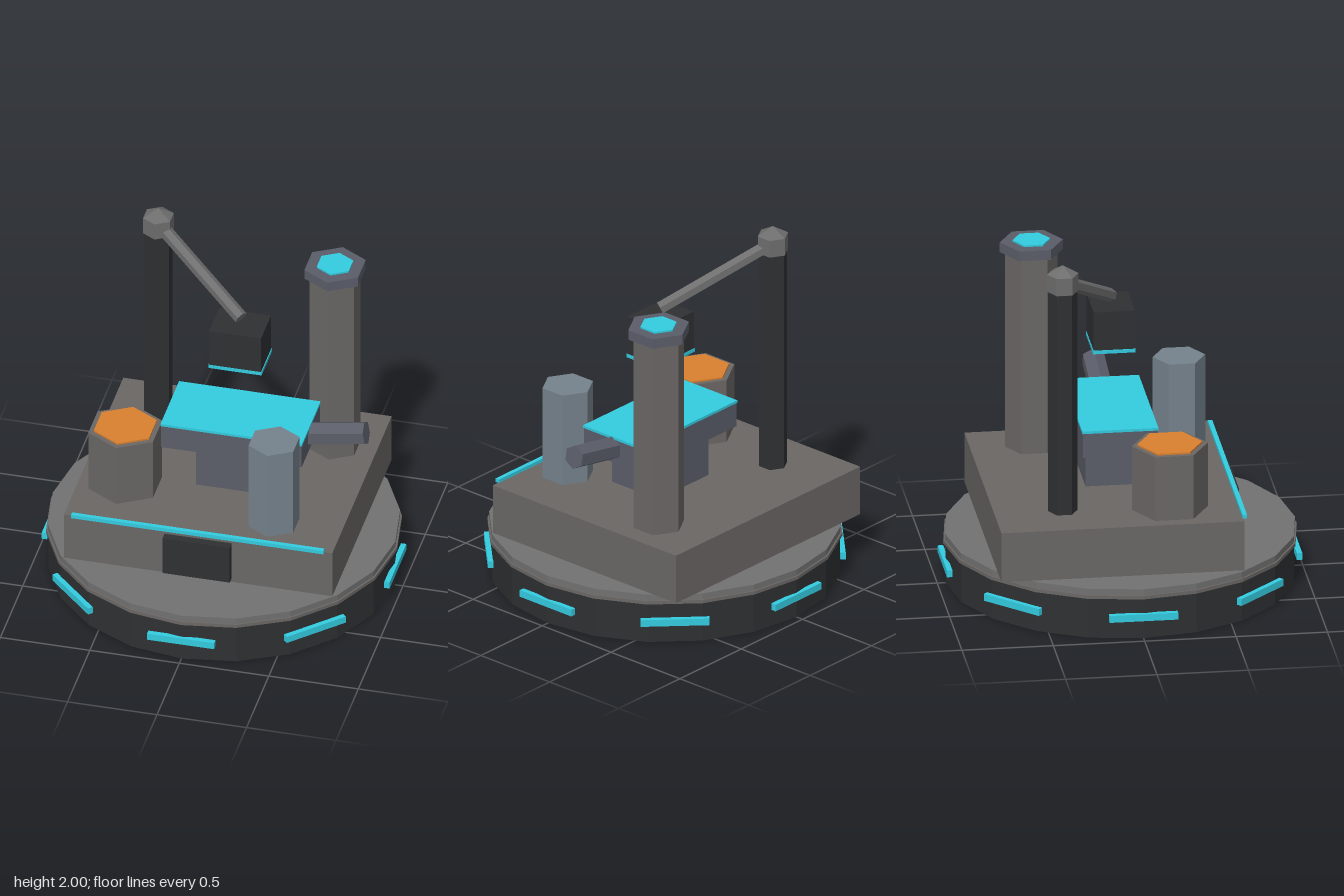
import * as THREE from 'three';

const mat = (color) => new THREE.MeshStandardMaterial({ color, flatShading: true });

export function createModel() {
  const root = new THREE.Group();
  const M = {
    dark: mat(0x2e3032), grey: mat(0x6a6765), deck: mat(0x717171), slate: mat(0x5a5d69),
    steel: mat(0x75828c), joint: mat(0x6e6e6e), cyan: mat(0x33cbe0), orange: mat(0xd98030),
  };

  const add = (name, geo, material, x = 0, y = 0, z = 0, parent = root) => {
    const mesh = new THREE.Mesh(geo, material);
    mesh.name = name;
    mesh.position.set(x, y, z);
    parent.add(mesh);
    return mesh;
  };
  // Box given by its extents on each axis
  const box = (name, m, [x0, x1], [y0, y1], [z0, z1]) =>
    add(name, new THREE.BoxGeometry(x1 - x0, y1 - y0, z1 - z0), m,
      (x0 + x1) / 2, (y0 + y1) / 2, (z0 + z1) / 2);
  // Upright prism standing between two heights
  const prism = (name, m, r, y0, y1, x, z, sides = 6) =>
    add(name, new THREE.CylinderGeometry(r, r, y1 - y0, sides), m, x, (y0 + y1) / 2, z);
  // Hexagonal rod between two points
  const rod = (name, m, r, a, b) => {
    const p = new THREE.Vector3(...a), q = new THREE.Vector3(...b);
    const mid = p.clone().add(q).multiplyScalar(0.5);
    const mesh = add(name, new THREE.CylinderGeometry(r, r, p.distanceTo(q), 6), m, mid.x, mid.y, mid.z);
    mesh.quaternion.setFromUnitVectors(new THREE.Vector3(0, 1, 0), q.sub(p).normalize());
    return mesh;
  };

  // Round base
  prism('baseDrum', M.dark, 0.955, 0, 0.23, 0, 0, 20);
  prism('baseRim', M.grey, 0.967, 0.23, 0.25, 0, 0, 20);
  prism('baseDeck', M.deck, 0.957, 0.25, 0.285, 0, 0, 20);

  // Eight light bars around the base
  for (let i = 0; i < 8; i++) {
    const a = (i * Math.PI) / 4;
    const bar = add('baseLight', new THREE.BoxGeometry(0.375, 0.04, 0.03), M.cyan,
      Math.sin(a) * 0.957, 0.125, Math.cos(a) * 0.957);
    bar.rotation.y = a;
  }

  // Square housing with front trim and panel
  box('housing', M.grey, [-0.75, 0.75], [0.285, 0.57], [-0.75, 0.58]);
  box('frontTrim', M.cyan, [-0.705, 0.705], [0.568, 0.59], [0.575, 0.6]);
  box('frontPanel', M.dark, [-0.188, 0.188], [0.31, 0.54], [0.57, 0.625]);

  // Work table
  box('tablePedestal', M.slate, [-0.125, 0.285], [0.57, 0.81], [-0.205, 0.13]);
  box('tableSlab', M.slate, [-0.31, 0.475], [0.81, 0.95], [-0.245, 0.165]);
  box('tableTop', M.cyan, [-0.313, 0.478], [0.95, 0.965], [-0.248, 0.168]);
  const nozzle = rod('sideNozzle', M.slate, 0.067, [0.42, 0.885, -0.04], [0.785, 0.949, -0.04]);
  nozzle.rotateY(Math.PI / 6);

  // Hexagonal containers and tower
  prism('pot', M.grey, 0.208, 0.57, 0.94, -0.5, 0.205);
  prism('potFill', M.orange, 0.178, 0.935, 0.95, -0.5, 0.205);
  prism('tank', M.steel, 0.144, 0.57, 1.107, 0.373, 0.373);
  prism('tower', M.grey, 0.144, 0.57, 1.71, 0.517, -0.415);
  prism('towerCap', M.slate, 0.173, 1.705, 1.762, 0.517, -0.415);
  prism('towerLight', M.cyan, 0.103, 1.76, 1.772, 0.517, -0.415);

  // Post with jointed arm and hanging head
  prism('armPost', M.dark, 0.08, 0.57, 1.88, -0.46, -0.375);
  const ball = add('armJoint', new THREE.SphereGeometry(0.1, 6, 3), M.joint, -0.46, 1.9, -0.375);
  ball.rotation.y = Math.PI / 2;
  rod('arm', M.joint, 0.038, [-0.45, 1.895, -0.37], [0.085, 1.595, -0.04]);
  box('head', M.dark, [-0.065, 0.225], [1.333, 1.557], [-0.153, 0.073]);
  box('headLight', M.cyan, [-0.069, 0.229], [1.315, 1.335], [-0.156, 0.076]);

  return root;
}
